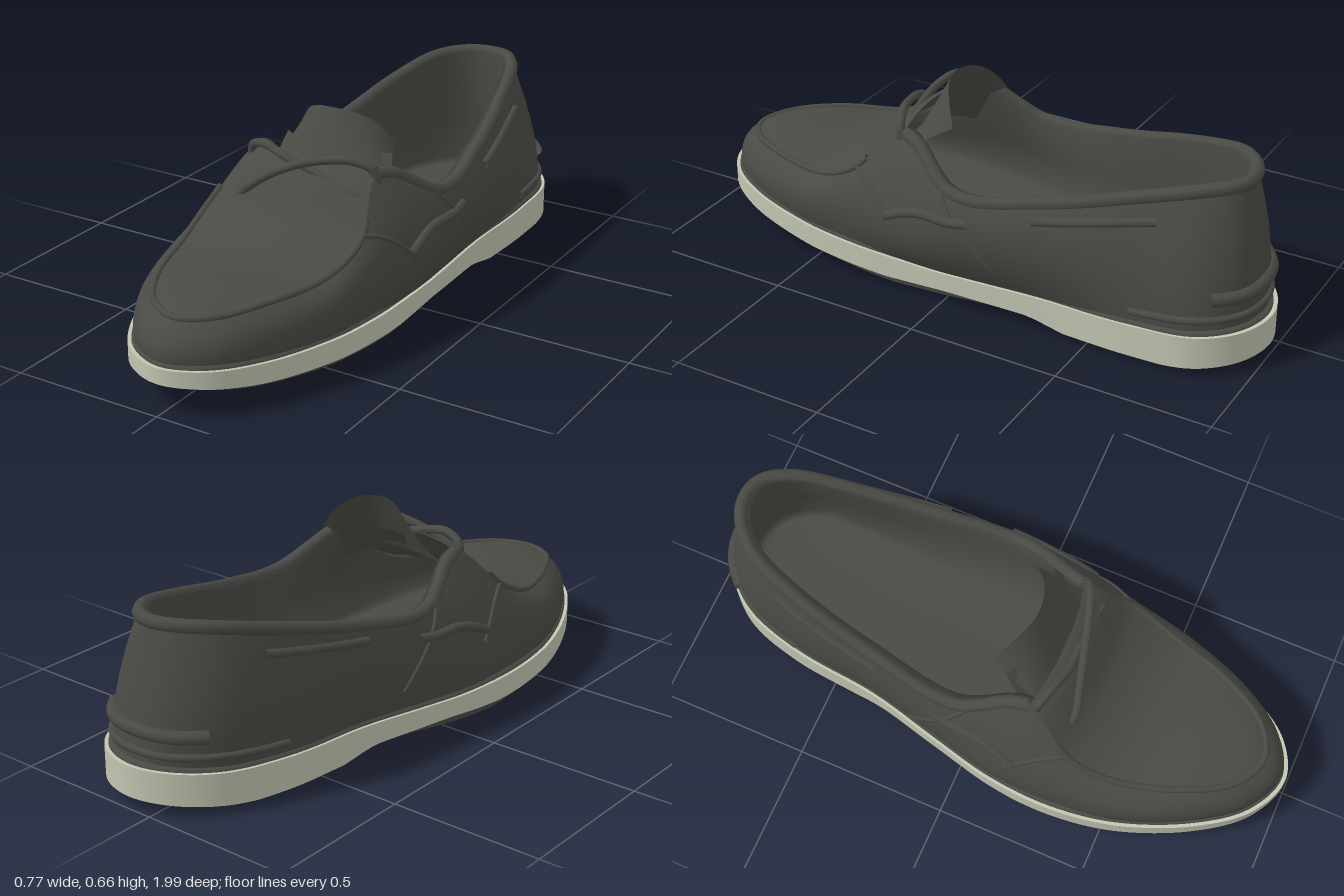
import * as THREE from 'three';
import { toCreasedNormals } from 'three/addons/utils/BufferGeometryUtils.js';

const V = (x, y, z) => new THREE.Vector3(x, y, z);
const N = 176;          // samples round the shoe
const K = 22;           // outline stations: toe, left side, heel, right side

// Stations from toe to heel: [z, y, x on right side, x on left side]
const SOLE = [
  [0.99, 0, 0, 0], [0.93, 0, -0.14, 0.13], [0.78, 0, -0.255, 0.23], [0.55, 0, -0.35, 0.3],
  [0.33, 0, -0.383, 0.328], [0.12, 0, -0.37, 0.328], [-0.1, 0, -0.32, 0.32], [-0.35, 0, -0.26, 0.31],
  [-0.65, 0, -0.225, 0.32], [-0.85, 0, -0.16, 0.3], [-0.96, 0, -0.05, 0.21], [-1, 0, 0.08, 0.08],
];
const MID = [
  [0.965, 0.21, 0, 0], [0.905, 0.21, -0.13, 0.12], [0.76, 0.215, -0.24, 0.22], [0.54, 0.22, -0.33, 0.3],
  [0.33, 0.25, -0.345, 0.33], [0.12, 0.28, -0.335, 0.36], [-0.08, 0.26, -0.315, 0.37], [-0.35, 0.28, -0.265, 0.345],
  [-0.64, 0.3, -0.22, 0.3], [-0.83, 0.32, -0.15, 0.26], [-0.93, 0.32, -0.04, 0.17], [-0.95, 0.32, 0.07, 0.07],
];
const TOP = [
  [0.9, 0.27, 0, 0], [0.85, 0.275, -0.11, 0.1], [0.71, 0.285, -0.2, 0.185], [0.5, 0.295, -0.265, 0.25],
  [0.35, 0.36, -0.275, 0.275], [0.18, 0.51, -0.215, 0.235], [-0.05, 0.4, -0.275, 0.335], [-0.35, 0.44, -0.235, 0.3],
  [-0.62, 0.51, -0.18, 0.24], [-0.8, 0.555, -0.11, 0.185], [-0.88, 0.565, -0.02, 0.125], [-0.9, 0.565, 0.06, 0.06],
];
// Height profiles along z
const SOLE_TOP = [[-1, 0.14], [-0.5, 0.115], [0, 0.105], [0.5, 0.12], [1, 0.15]];
const MIDSOLE_LOW = [[-1, 0.04], [-0.75, 0.02], [-0.42, 0.015], [-0.3, 0.04], [0, 0.045], [0.2, 0.038], [0.5, 0.05], [0.8, 0.075], [1, 0.1]];
const OUTSOLE_LOW = [[-1, 0.03], [-0.75, 0.005], [-0.42, 0.002], [-0.3, 0.032], [0, 0.008], [0.2, 0], [0.5, 0.02], [0.8, 0.055], [1, 0.09]];

function heightAt(profile, z) {
  let i = 1;
  while (i < profile.length - 1 && z > profile[i][0]) i++;
  const [a, b] = [profile[i - 1], profile[i]];
  return THREE.MathUtils.mapLinear(THREE.MathUtils.clamp(z, a[0], b[0]), a[0], b[0], a[1], b[1]);
}

function outline(rows) {
  const left = rows.map(([z, y, , x]) => V(x, y, z));
  const right = rows.slice(1, -1).reverse().map(([z, y, x]) => V(x, y, z));
  return new THREE.CatmullRomCurve3([...left, ...right], true);
}
const sole = outline(SOLE), mid = outline(MID), top = outline(TOP);
const wrap = t => ((t % 1) + 1) % 1;

// Point on an outline, drawn in towards the long centre line
function inward(curve, t, s, sz, y) {
  const p = curve.getPoint(wrap(t)), q = curve.getPoint(wrap(1 - t));
  const c = (p.x + q.x) / 2;
  return V(c + (p.x - c) * s, y === undefined ? p.y : y, p.z * sz);
}
const soleRing = (t, s, sz, profile, dy = 0) => {
  const p = inward(sole, t, s, sz, 0);
  p.y = heightAt(profile, p.z) + dy;
  return p;
};

// Outer wall of the upper: a smooth bow through base, middle and top line
function wall(t, v) {
  const a = soleRing(t, 0.94, 0.975, SOLE_TOP, -0.015);
  const b = mid.getPoint(wrap(t)), c = top.getPoint(wrap(t));
  return a.multiplyScalar(2 * (v - 0.5) * (v - 1))
    .add(b.multiplyScalar(-4 * v * (v - 1))).add(c.multiplyScalar(2 * v * (v - 0.5)));
}

// Grid surface from a rule f(u, v); closed joins the last column to the first
function grid(nu, nv, f, closed = false) {
  const pos = [], idx = [], cols = closed ? nu : nu + 1;
  for (let j = 0; j <= nv; j++)
    for (let i = 0; i < cols; i++) pos.push(...f(i / nu, j / nv).toArray());
  for (let j = 0; j < nv; j++)
    for (let i = 0; i < nu; i++) {
      const k = (i + 1) % cols, a = j * cols;
      idx.push(a + i, a + k, a + cols + i, a + k, a + cols + k, a + cols + i);
    }
  const g = new THREE.BufferGeometry();
  g.setAttribute('position', new THREE.Float32BufferAttribute(pos, 3));
  g.setIndex(idx);
  g.computeVertexNormals();
  return g;
}
const rings = list => grid(N, list.length - 1, (t, v) => list[Math.round(v * (list.length - 1))](t), true);

export function createModel() {
  const shoe = new THREE.Group();
  shoe.name = 'boatShoe';
  const leather = new THREE.MeshStandardMaterial({ color: 0x4a4a45, side: THREE.DoubleSide });
  leather.name = 'dark leather';
  const rubber = new THREE.MeshStandardMaterial({ color: 0xc2c6b2 });
  rubber.name = 'pale rubber';

  const add = (name, geometry, material = leather) => {
    const m = new THREE.Mesh(geometry, material);
    m.name = name;
    shoe.add(m);
  };
  const cord = (name, points, r, segments = 40) =>
    add(name, new THREE.TubeGeometry(new THREE.CatmullRomCurve3(points), segments, r, 8));
  // Cord laid on the wall from station k0 to k1
  const wallCord = (name, k0, k1, v0, v1, r) => {
    const n = 16, pts = [];
    for (let i = 0; i <= n; i++)
      pts.push(wall((k0 + (k1 - k0) * i / n) / K, v0 + (v1 - v0) * i / n));
    cord(name, pts, r, 60);
  };

  // Sole
  add('midsole', toCreasedNormals(rings([
    t => soleRing(t, 0.86, 0.95, MIDSOLE_LOW),
    t => soleRing(t, 1, 1, MIDSOLE_LOW),
    t => soleRing(t, 1, 1, SOLE_TOP),
    t => soleRing(t, 0.85, 0.94, SOLE_TOP),
  ]), 0.7), rubber);
  add('outsole', toCreasedNormals(rings([
    t => soleRing(t, 0, 0.94, OUTSOLE_LOW),
    t => soleRing(t, 0.5, 0.95, OUTSOLE_LOW),
    t => soleRing(t, 0.9, 0.965, OUTSOLE_LOW),
    t => soleRing(t, 0.93, 0.975, MIDSOLE_LOW, 0.01),
  ]), 0.7));
  add('welt', rings([
    t => soleRing(t, 0.975, 0.988, SOLE_TOP, -0.005),
    t => soleRing(t, 0.965, 0.985, SOLE_TOP, 0.012),
    t => soleRing(t, 0.88, 0.95, SOLE_TOP, 0.016),
  ]));

  // Upper: outer wall, lining with insole, toe panel
  add('upperWall', grid(N, 14, wall, true));
  add('liningAndInsole', rings([
    t => inward(top, t, 0.98, 0.995),
    t => inward(top, t, 0.84, 0.965),
    t => inward(mid, t, 0.84, 0.93),
    t => inward(sole, t, 0.8, 0.91, 0.165),
    t => inward(sole, t, 0.72, 0.89, 0.15),
    t => inward(sole, t, 0, 0.85, 0.15),
  ]));
  const throat = 5 / K;
  add('toePanel', grid(40, 16, (u, s) => {
    const a = top.getPoint(u * throat), b = top.getPoint(wrap(1 - u * throat));
    const p = a.lerp(b, s), arch = 4 * s * (1 - s);
    p.y += arch * 0.018 * Math.min(1, u * 4);
    p.z += arch * 0.03 * u * u;
    return p;
  }));

  // Raised toe seam and padded collar
  const edge = (k0, k1) => Array.from({ length: 41 }, (_, i) => top.getPoint(wrap((k0 + (k1 - k0) * i / 40) / K)));
  cord('toeSeam', edge(-4.3, 4.3), 0.011, 90);
  cord('collar', edge(5, 17).map(p => V(p.x + (0.04 - p.x) * 0.04, p.y - 0.004, p.z)), 0.022, 120);

  // Tongue, cupped towards the heel
  add('tongue', grid(20, 12, (a, v) => {
    const u = a * 2 - 1;
    const high = 0.66 - 0.05 * u * u - 0.06 * Math.pow(Math.abs(u), 5);
    return V(0.035 + u * (0.2 - 0.032 * v), THREE.MathUtils.lerp(0.46, high, v),
      0.21 - 0.1 * v - 0.085 * u * u * (0.4 + 0.6 * v));
  }));
  // Tongue underside running down into the shoe
  add('tongueLining', grid(16, 8, (a, v) => {
    const u = a * 2 - 1;
    return V(0.035 + u * (0.19 + 0.04 * v), 0.54 - 0.1 * v - 0.07 * u * u * v, 0.14 - 0.06 * u * u + 0.1 * v);
  }));

  // Crossed laces over the instep
  cord('leftLace', [V(0.24, 0.47, 0.19), V(0.225, 0.525, 0.2), V(0.17, 0.55, 0.225), V(0.09, 0.545, 0.25),
    V(0, 0.52, 0.275), V(-0.09, 0.475, 0.3), V(-0.15, 0.43, 0.315), V(-0.18, 0.4, 0.31)], 0.014);
  cord('rightLace', [V(-0.205, 0.47, 0.2), V(-0.2, 0.525, 0.21), V(-0.14, 0.545, 0.23), V(-0.06, 0.53, 0.25),
    V(0.03, 0.505, 0.25), V(0.12, 0.48, 0.25), V(0.2, 0.46, 0.255), V(0.25, 0.43, 0.25)], 0.014);

  // Side lacing, saddle seams and heel strap
  for (const [side, at] of [['left', k => k], ['right', k => K - k]]) {
    wallCord(side + 'SideLace', at(4.7), at(6.2), 0.5, 0.76, 0.016);
    wallCord(side + 'CollarLace', at(6.9), at(8.3), 0.84, 0.84, 0.014);
    wallCord(side + 'SaddleSeam', at(4.1), at(4.8), 0.98, 0.42, 0.008);
    wallCord(side + 'SaddleBackSeam', at(5.8), at(6.4), 0.98, 0.25, 0.007);
  }
  wallCord('heelStrap', 9.3, 12.7, 0.32, 0.32, 0.022);
  wallCord('heelSeam', 8, 14, 0.16, 0.16, 0.012);

  return shoe;
}
